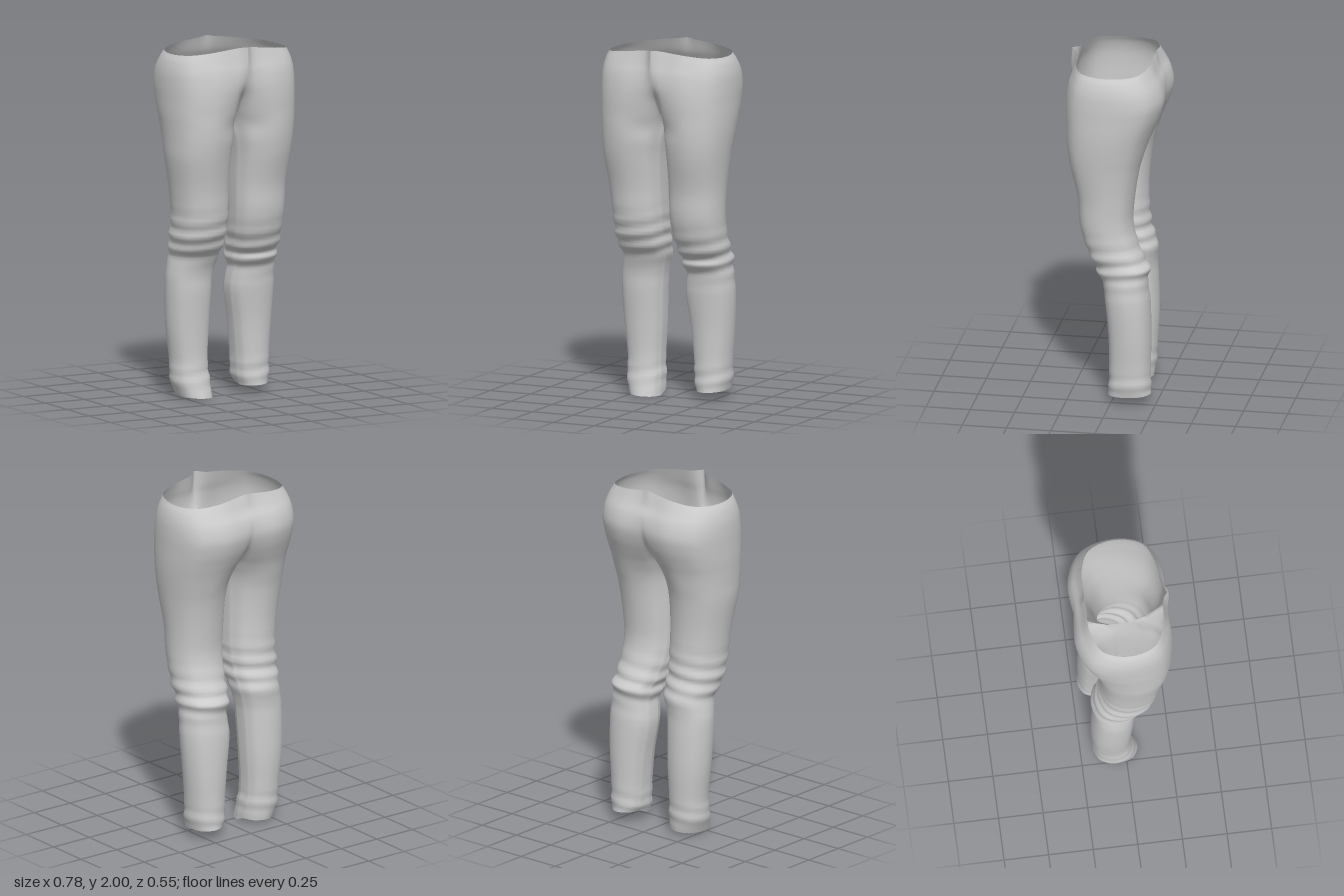
import * as THREE from 'three';
import { mergeVertices, mergeGeometries } from 'three/addons/utils/BufferGeometryUtils.js';

const ARC = 40; // points round one half, front to back
const SUB = 5; // rings between two sections

// Sections: [y, outer x, inner x, front z, back z, inner front z, inner back z]
const seat = [
  [1.955, 0.348, 0, 0.215, -0.2, 0.268, -0.21],
  [1.92, 0.368, 0, 0.232, -0.228, 0.271, -0.23],
  [1.86, 0.385, 0, 0.25, -0.26, 0.268, -0.26],
  [1.78, 0.391, 0, 0.262, -0.277, 0.245, -0.265],
  [1.7, 0.39, 0, 0.265, -0.262, 0.19, -0.235],
  [1.62, 0.388, 0, 0.262, -0.232, 0.13, -0.17],
  [1.55, 0.383, 0, 0.26, -0.205, 0.06, -0.08],
];
const leftLeg = [
  [1.47, 0.374, 0.012, 0.254, -0.178],
  [1.38, 0.362, 0.021, 0.24, -0.152],
  [1.2, 0.342, 0.025, 0.2, -0.122],
  [1.05, 0.335, 0.028, 0.188, -0.113],
  [0.93, 0.333, 0.035, 0.158, -0.14],
  [0.84, 0.335, 0.05, 0.118, -0.18],
  [0.8, 0.334, 0.056, 0.092, -0.207],
  [0.77, 0.335, 0.06, 0.085, -0.207],
  [0.71, 0.336, 0.074, 0.052, -0.2],
  [0.6, 0.343, 0.062, 0.04, -0.213],
  [0.4, 0.333, 0.09, 0.02, -0.22],
  [0.2, 0.317, 0.11, 0.015, -0.218],
  [0.1, 0.315, 0.114, 0.018, -0.22],
  [0.045, 0.303, 0.13, 0.022, -0.222],
];
const rightLeg = [
  [1.47, 0.378, 0.012, 0.254, -0.182],
  [1.38, 0.373, 0.022, 0.24, -0.16],
  [1.2, 0.346, 0.025, 0.205, -0.14],
  [1.05, 0.33, 0.022, 0.19, -0.14],
  [0.94, 0.326, 0.025, 0.165, -0.15],
  [0.86, 0.32, 0.028, 0.13, -0.17],
  [0.8, 0.308, 0.035, 0.085, -0.19],
  [0.7, 0.324, 0.058, 0.055, -0.185],
  [0.6, 0.325, 0.066, 0.05, -0.19],
  [0.4, 0.315, 0.075, 0.035, -0.195],
  [0.2, 0.292, 0.085, 0.03, -0.185],
  [0.1, 0.292, 0.078, 0.045, -0.18],
  [0.01, 0.262, 0.076, 0.07, -0.168],
];

// Open arc from the inner front, round the outside, to the inner back
function sectionArc([y, xo, xi, zf, zb, f0, b0]) {
  const cx = (xo + xi) / 2, rx = (xo - xi) / 2;
  const cz = (zf + zb) / 2, rz = (zf - zb) / 2;
  const inF = f0 ?? cz + rz * 0.25, inB = b0 ?? cz - rz * 0.25;
  const k = 0.73, mix = THREE.MathUtils.lerp;
  const pts = [
    [xi, inF], [cx - k * rx, mix(inF, zf, 0.68)], [cx, zf], [cx + k * rx, cz + k * rz],
    [xo, cz], [cx + k * rx, cz - k * rz], [cx, zb], [cx - k * rx, mix(inB, zb, 0.68)], [xi, inB],
  ].map(([x, z]) => new THREE.Vector3(x, y, z));
  return new THREE.CatmullRomCurve3(pts).getPoints(ARC);
}

// One half of the garment, seat and leg in one loft
function half(leg, side, kneeY, hemY) {
  const sections = [...seat, ...leg];
  const arcs = sections.map(sectionArc);
  // wavy waist edge and uneven hem
  arcs[0].forEach((p, j) => { p.y += 0.045 * Math.cos(Math.PI * j / ARC) ** 2; });
  arcs.at(-1).forEach((p, j) => { p.y = hemY + 0.012 * (1 - Math.cos(Math.PI * j / ARC)); });

  const rows = (sections.length - 1) * SUB;
  const stride = ARC + 1;
  const columns = arcs[0].map((_, j) =>
    new THREE.CatmullRomCurve3(arcs.map((a) => a[j]), false, 'centripetal').getPoints(rows));
  const pos = [], index = [];
  for (let i = 0; i <= rows; i++) {
    const c = columns[0][i].clone().lerp(columns[ARC][i], 0.5);
    c.x = (columns[0][i].x + columns[ARC / 2][i].x) / 2;
    for (let j = 0; j <= ARC; j++) {
      const p = columns[j][i];
      // cloth folds round the knee and above the hem
      const a = (j / ARC) * Math.PI * 2;
      const knee = 0.006 * Math.exp(-(((p.y - kneeY) / 0.12) ** 2));
      const ankle = 0.004 * Math.exp(-(((p.y - 0.13) / 0.07) ** 2));
      const fold = 1 + (knee + ankle) * 8 * Math.sin(p.y * 75 + 1.5 * Math.sin(a + side));
      const x = c.x + (p.x - c.x) * fold, z = c.z + (p.z - c.z) * fold;
      pos.push(side * x, p.y, z);
    }
  }
  const tri = (a, b, c) => (side > 0 ? index.push(a, b, c) : index.push(a, c, b));
  const quad = (a, b, c, d) => { tri(a, b, d); tri(b, c, d); };
  const crotchRow = (seat.length - 1) * SUB;
  for (let i = 0; i < rows; i++) {
    const r = i * stride, s = r + stride;
    for (let j = 0; j < ARC; j++) quad(r + j, s + j, s + j + 1, r + j + 1);
    // below the crotch the inside of the leg closes the ring
    if (i >= crotchRow) quad(r + ARC, s + ARC, s, r);
  }
  const g = new THREE.BufferGeometry();
  g.setAttribute('position', new THREE.Float32BufferAttribute(pos, 3));
  g.setIndex(index);
  return g;
}

export function createModel() {
  const group = new THREE.Group();
  group.name = 'trousers';
  const cloth = new THREE.MeshStandardMaterial({ color: 0xcccccc, side: THREE.DoubleSide });

  // Both halves welded along the centre seam
  const geometry = mergeVertices(
    mergeGeometries([half(leftLeg, 1, 0.82, 0.04), half(rightLeg, -1, 0.92, 0)]), 1e-4);
  geometry.computeVertexNormals();
  const mesh = new THREE.Mesh(geometry, cloth);
  mesh.name = 'trouserCloth';
  group.add(mesh);
  return group;
}
